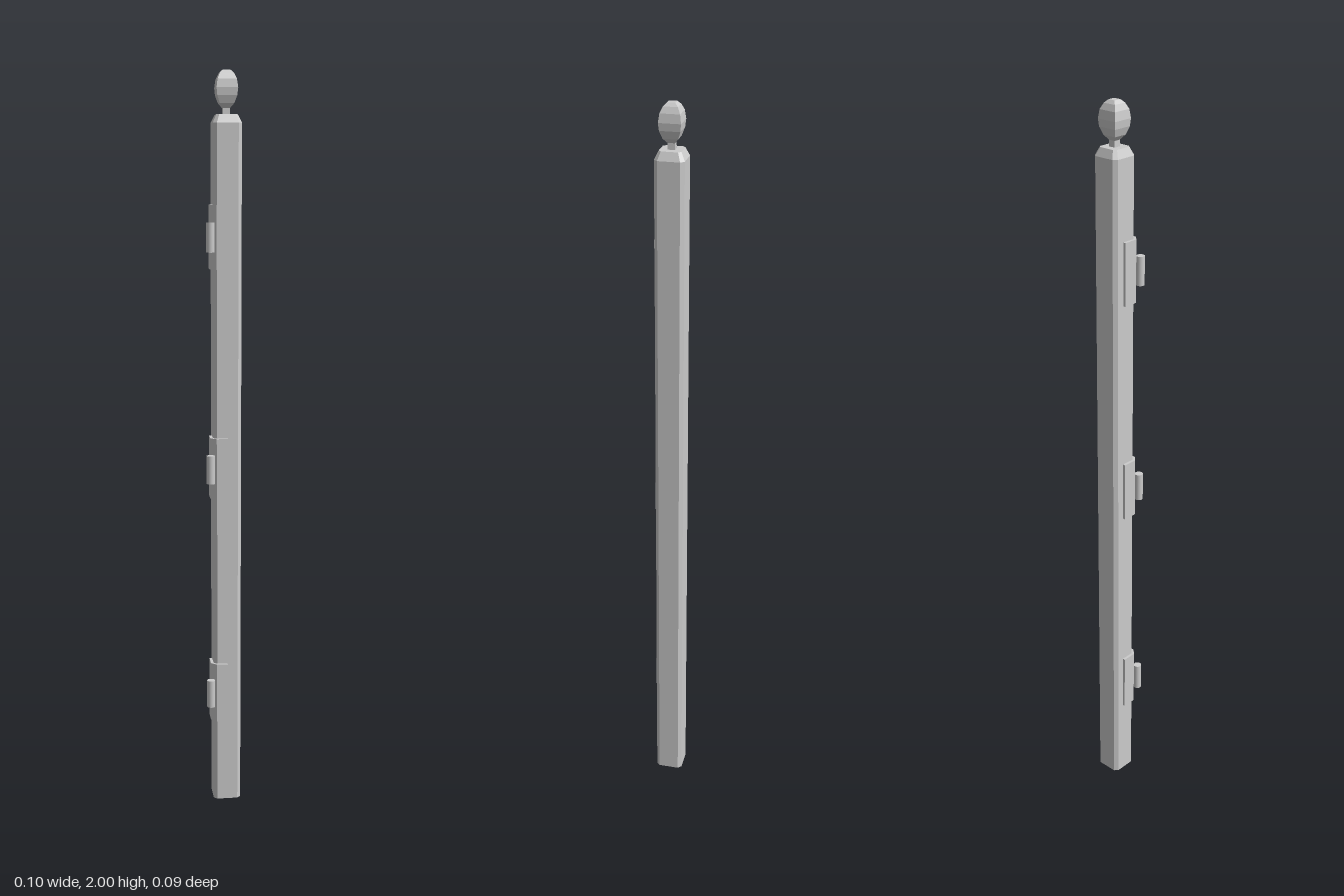
import * as THREE from 'three';

const CX = 0.0095, CZ = -0.0095; // post axis
const HALF = 0.0378, CHAMFER = 0.0095;

export function createModel() {
  const group = new THREE.Group();
  const flat = new THREE.MeshStandardMaterial({ color: 0xcccccc, flatShading: true });
  const smooth = new THREE.MeshStandardMaterial({ color: 0xcccccc });

  const add = (name, geometry, material, x, y, z, parent = group) => {
    const mesh = new THREE.Mesh(geometry, material);
    mesh.name = name;
    mesh.position.set(x, y, z);
    parent.add(mesh);
    return mesh;
  };

  // Square post with chamfered corners, tapered at the top
  add('post', chamferedLoft([
    [0, HALF, CHAMFER],
    [1.867, HALF, CHAMFER],
    [1.888, 0.028, 0.007],
  ]), flat, CX, 0, CZ);

  // Four-sided finial: half widths against height
  const profile = [
    [0, 1.884], [0.0095, 1.884], [0.009, 1.904], [0.019, 1.916], [0.026, 1.936],
    [0.028, 1.955], [0.025, 1.977], [0.018, 1.992], [0.01, 2], [0, 2],
  ].map(([w, y]) => new THREE.Vector2(w * Math.SQRT2, y));
  const finial = new THREE.LatheGeometry(profile, 4, Math.PI / 4);
  add('finial', finial, flat, CX, 0, CZ);

  // Hinges: leaf plate wrapped round one corner, with a two-part barrel
  const leaf = leafGeometry(0.167);
  const knuckle = new THREE.CylinderGeometry(0.0112, 0.0112, 0.0385, 20);
  for (const y of [0.32, 0.957, 1.575]) {
    const hinge = new THREE.Group();
    hinge.name = 'hinge';
    hinge.position.y = y;
    group.add(hinge);
    add('hingeLeaf', leaf, flat, CX, -0.0835, CZ, hinge);
    for (const s of [-1, 1]) add('hingeKnuckle', knuckle, smooth, -0.037, s * 0.01925, 0.035, hinge);
  }
  return group;
}

// Stacks octagonal sections [y, half width, chamfer] and closes both ends
function chamferedLoft(sections) {
  const positions = [], index = [];
  for (const [y, h, c] of sections) {
    const k = h - c;
    for (const [x, z] of [[h, k], [k, h], [-k, h], [-h, k], [-h, -k], [-k, -h], [k, -h], [h, -k]])
      positions.push(x, y, z);
  }
  for (let r = 0; r < sections.length - 1; r++)
    for (let i = 0; i < 8; i++) {
      const a = r * 8 + i, b = r * 8 + (i + 1) % 8;
      index.push(a, a + 8, b, b, a + 8, b + 8);
    }
  const top = (sections.length - 1) * 8;
  for (let i = 1; i < 7; i++) {
    index.push(0, i, i + 1);
    index.push(top, top + i + 1, top + i);
  }
  const geometry = new THREE.BufferGeometry();
  geometry.setAttribute('position', new THREE.Float32BufferAttribute(positions, 3));
  geometry.setIndex(index);
  geometry.computeVertexNormals();
  return geometry;
}

// Bent plate hugging the front corner on the -x side, drawn in plan and extruded upwards
function leafGeometry(height) {
  const h = HALF - 0.001, o = HALF + 0.0075, c = CHAMFER;
  const plan = [
    [0, h], [0, o], [-h + c - 0.003, o], [-o, h - c + 0.003],
    [-o, -0.009], [-h, -0.009], [-h, h - c], [-h + c, h],
  ].map(([x, z]) => new THREE.Vector2(x, -z));
  const geometry = new THREE.ExtrudeGeometry(new THREE.Shape(plan), { depth: height, bevelEnabled: false });
  return geometry.rotateX(-Math.PI / 2);
}
